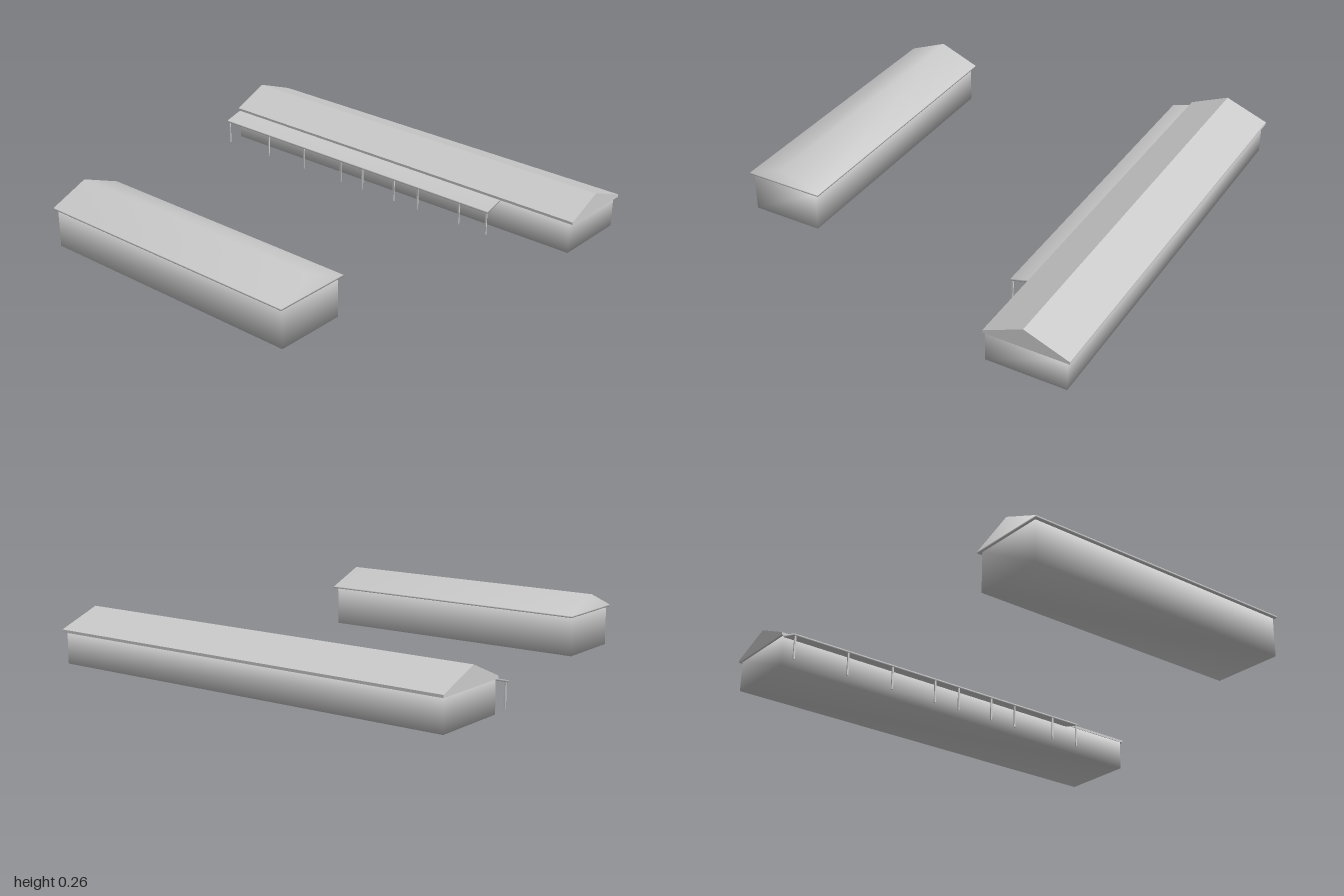
import * as THREE from 'three';
import { mergeVertices } from 'three/addons/utils/BufferGeometryUtils.js';

const material = new THREE.MeshStandardMaterial({ color: 0xcccccc });

// Runs a [z, y] cross-section along x from x0 to x1; smooth shares normals over the corners
function prism(name, profile, x0, x1, smooth) {
  const shape = new THREE.Shape(profile.map(([z, y]) => new THREE.Vector2(-z, y)));
  let geometry = new THREE.ExtrudeGeometry(shape, { depth: x1 - x0, bevelEnabled: false });
  geometry.rotateY(Math.PI / 2).translate(x0, 0, 0);
  if (smooth) {
    geometry.deleteAttribute('uv');
    geometry.deleteAttribute('normal');
    geometry = mergeVertices(geometry, 1e-4);
    geometry.computeVertexNormals();
  }
  const mesh = new THREE.Mesh(geometry, material);
  mesh.name = name;
  return mesh;
}

const rect = (z0, z1, y0, y1) => [[z0, y0], [z1, y0], [z1, y1], [z0, y1]];

// Gabled roof section with a thin fascia at both eaves
const gable = (zBack, zFront, zRidge, yBottom, yEave, yRidge) => [
  [zBack, yBottom], [zFront, yBottom], [zFront, yEave], [zRidge, yRidge], [zBack, yEave],
];

export function createModel() {
  const model = new THREE.Group();
  model.name = 'longBuildings';

  // Shorter front building
  const front = new THREE.Group();
  front.name = 'frontBuilding';
  front.add(
    prism('frontWalls', rect(0.555, 0.885, 0, 0.18), -0.73, 0.59, true),
    prism('frontRoof', gable(0.535, 0.9, 0.72, 0.18, 0.188, 0.262), -0.74, 0.6, true),
  );

  // Longer rear building
  const rear = new THREE.Group();
  rear.name = 'rearBuilding';
  rear.add(
    prism('rearWalls', rect(-0.885, -0.525, 0, 0.142), -0.99, 0.985, true),
    prism('rearRoof', gable(-0.9, -0.522, -0.7, 0.142, 0.154, 0.23), -1, 1, false),
  );

  // Sloping canopy along the front of the rear building
  const canopy = new THREE.Group();
  canopy.name = 'canopy';
  canopy.add(prism('canopyRoof',
    [[-0.525, 0.134], [-0.432, 0.108], [-0.432, 0.117], [-0.525, 0.143]], -0.99, 0.62, true));

  // Unevenly spaced canopy posts
  const postGeometry = new THREE.BoxGeometry(0.008, 0.112, 0.006);
  for (const x of [-0.98, -0.71, -0.475, -0.24, -0.105, 0.085, 0.225, 0.46, 0.61]) {
    const post = new THREE.Mesh(postGeometry, material);
    post.name = 'canopyPost';
    post.position.set(x, 0.056, -0.437);
    canopy.add(post);
  }
  rear.add(canopy);

  model.add(front, rear);
  return model;
}
